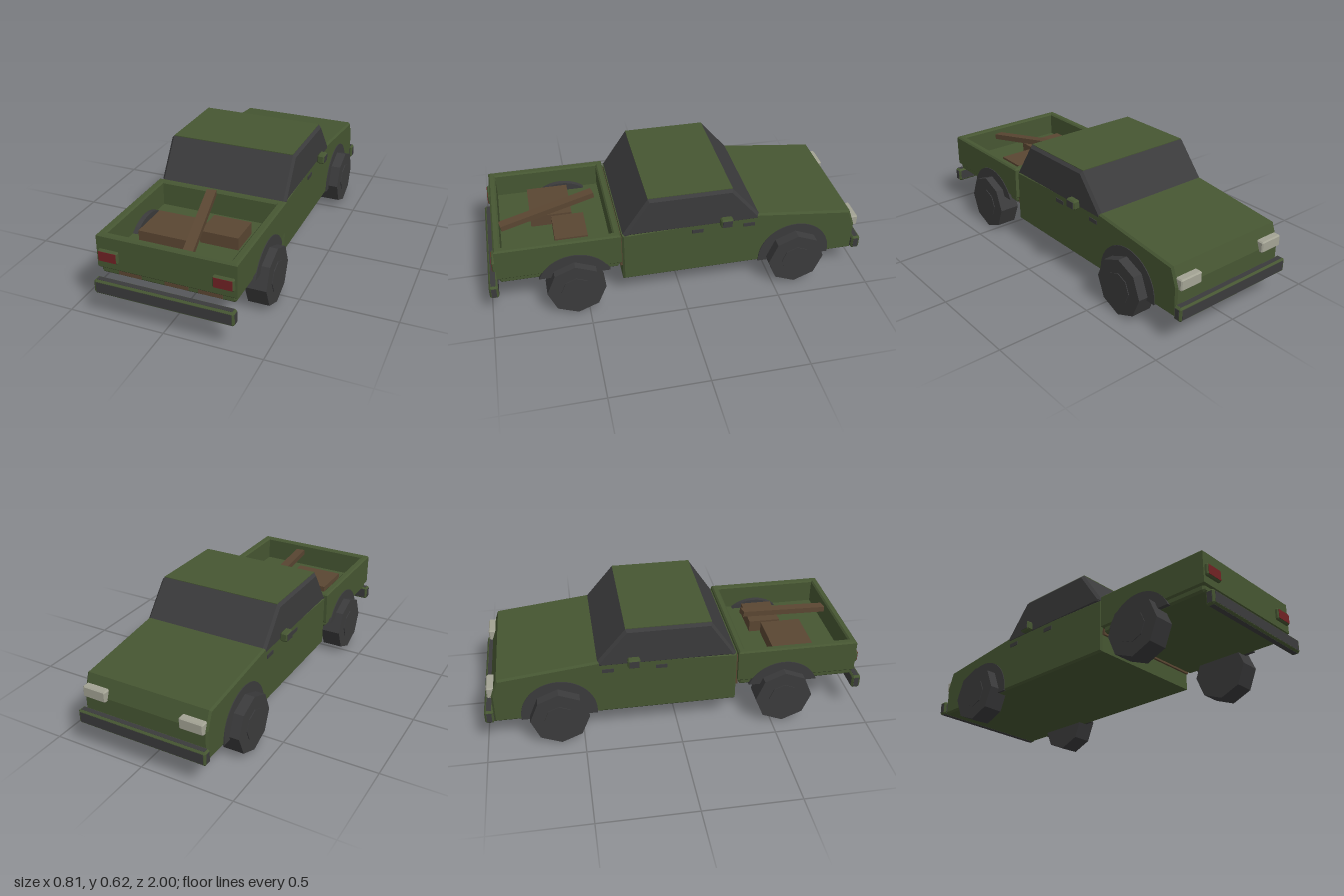
import * as THREE from 'three';

const mat = (name, color) => Object.assign(new THREE.MeshStandardMaterial({ color }), { name });

export function createModel() {
  const truck = new THREE.Group();
  truck.name = 'pickupTruck';
  const green = mat('bodyGreen', 0x465632);
  const dark = mat('darkRubberAndGlass', 0x3b3b3c);
  const brown = mat('woodBrown', 0x5a4632);
  const red = mat('tailLightRed', 0x702224);
  const pale = mat('headlightPale', 0xa3a394);

  const add = (name, geo, material, x = 0, y = 0, z = 0) => {
    const m = new THREE.Mesh(geo, material);
    m.name = name;
    m.position.set(x, y, z);
    truck.add(m);
    return m;
  };
  const toShape = pts => new THREE.Shape(pts.map(p => new THREE.Vector2(p[0], p[1])));
  // Extrusion with a single chamfer that keeps the outline, centred on its depth
  const chamfered = (shape, depth, b) => new THREE.ExtrudeGeometry(shape, {
    depth: depth - 2 * b, bevelEnabled: b > 0, bevelSize: b, bevelThickness: b,
    bevelOffset: -b, bevelSegments: 1, curveSegments: 14,
  }).translate(0, 0, -depth / 2 + b);
  // Side profile given as (z, y), extruded across x
  const sideways = (shape, width, b) => chamfered(shape, width, b).rotateY(-Math.PI / 2);
  const rect = (w, h) => [[-w / 2, -h / 2], [w / 2, -h / 2], [w / 2, h / 2], [-w / 2, h / 2]];
  const block = (w, h, d, b) => {
    const x = w / 2, y = h / 2;
    return chamfered(toShape([[-x + b, -y], [x - b, -y], [x, -y + b], [x, y - b],
      [x - b, y], [-x + b, y], [-x, y - b], [-x, -y + b]]), d, b);
  };
  const box = (w, h, d) => new THREE.BoxGeometry(w, h, d);

  // Cab and hood
  add('lowerBody', sideways(toShape([[0.31, 0.13], [0.31, 0.42], [-0.40, 0.445], [-0.92, 0.385],
    [-0.955, 0.29], [-0.955, 0.13]]), 0.69, 0.01), green);
  add('cabinGlass', sideways(toShape([[0.305, 0.41], [0.305, 0.42], [0.172, 0.618], [-0.265, 0.618],
    [-0.415, 0.44], [-0.415, 0.41]]), 0.694, 0.014), dark);
  add('roof', box(0.664, 0.008, 0.437), green, 0, 0.617, -0.046);

  // Cargo bed: wall ring, floor and the strip behind the cab
  const ring = toShape(rect(0.71, 0.635));
  ring.holes.push(new THREE.Path(rect(0.63, 0.56).reverse().map(p => new THREE.Vector2(...p))));
  add('bedWalls', chamfered(ring, 0.18, 0.008).rotateX(-Math.PI / 2), green, 0, 0.34, 0.633);
  add('bedFloor', block(0.69, 0.08, 0.615, 0.01), green, 0, 0.26, 0.633);
  add('cabGapStrip', box(0.67, 0.18, 0.014), brown, 0, 0.31, 0.314);
  for (const [x, w] of [[-0.19, 0.12], [0.05, 0.12], [0.22, 0.12]])
    add('rustPatch', box(w, 0.02, 0.004), brown, x, 0.24, 0.941);

  // Cargo
  add('largeCrate', box(0.26, 0.1, 0.22), brown, -0.115, 0.315, 0.64);
  add('smallCrate', box(0.2, 0.1, 0.17), brown, 0.13, 0.315, 0.555);
  const plank = add('plank', box(0.05, 0.03, 0.515), brown, 0.04, 0.42, 0.66);
  plank.lookAt(0.09, 0.383, 0.91);

  // Wheels and arches
  const tyreGeo = new THREE.CylinderGeometry(0.152, 0.152, 0.11, 8).rotateZ(Math.PI / 2).toNonIndexed();
  const hubGeo = new THREE.CylinderGeometry(0.08, 0.08, 0.02, 8).rotateZ(Math.PI / 2).toNonIndexed();
  tyreGeo.computeVertexNormals();
  hubGeo.computeVertexNormals();
  for (const [end, z, bottom, outer] of [['front', -0.62, 0.131, 0.349], ['rear', 0.56, 0.222, 0.359]]) {
    const a = Math.asin((bottom - 0.15) / 0.197);
    const arch = new THREE.Shape().absarc(z, 0.15, 0.197, a, Math.PI - a);
    for (const s of [-1, 1]) {
      add(end + 'Tyre', tyreGeo, dark, s * 0.347, 0.152, z);
      add(end + 'Hub', hubGeo, dark, s * 0.396, 0.152, z);
      add(end + 'WheelArch', sideways(arch, outer - 0.29, 0), dark, s * (outer + 0.29) / 2, 0, 0);
    }
  }

  // Bumpers: dark faces with green edges
  for (const [end, z] of [['rear', 0.976], ['front', -0.976]]) {
    add(end + 'BumperEdges', block(0.716, 0.074, 0.046, 0.008), green, 0, 0.17, z);
    add(end + 'BumperFace', box(0.692, 0.054, 0.048), dark, 0, 0.17, z);
    add(end + 'BumperTop', box(0.692, 0.076, 0.026), dark, 0, 0.17, z);
    add(end + 'BumperEnds', box(0.719, 0.054, 0.026), dark, 0, 0.17, z);
  }

  // Lights, mirrors and door handles on both sides
  for (const s of [-1, 1]) {
    add('tailLightFrame', block(0.106, 0.062, 0.03, 0.006), green, s * 0.292, 0.326, 0.952);
    add('tailLight', box(0.092, 0.05, 0.006), red, s * 0.292, 0.326, 0.966);
    add('headlight', block(0.13, 0.06, 0.045, 0.006), pale, s * 0.27, 0.306, -0.953);
    add('mirror', block(0.04, 0.05, 0.064, 0.007), green, s * 0.37, 0.44, -0.23);
    add('mirrorFace', box(0.004, 0.036, 0.05), dark, s * 0.39, 0.44, -0.23);
    for (const z of [-0.085, -0.36])
      add('doorHandle', box(0.006, 0.02, 0.06), dark, s * 0.346, 0.388, z);
  }
  return truck;
}
